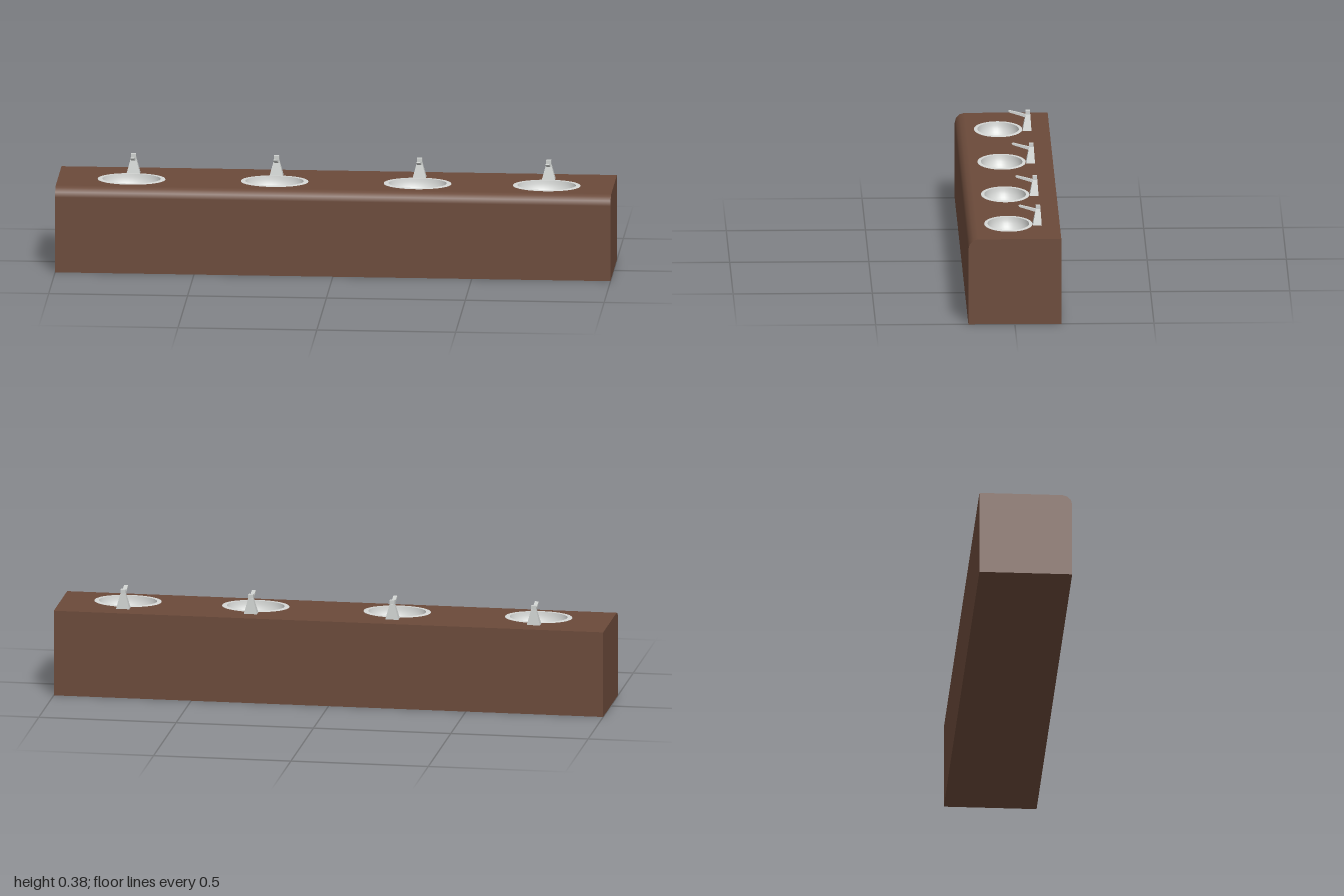
import * as THREE from 'three';

const H = 0.313, D = 0.167, R = 0.036; // counter height, half depth, front edge radius
const RIM_X = 0.122, RIM_Z = 0.087, BASIN_Z = 0.0175;
const BASINS = [-0.735, -0.22, 0.295, 0.76];

export function createModel() {
  const model = new THREE.Group();
  const wood = new THREE.MeshStandardMaterial({ color: 0x6b4a3a });
  wood.name = 'brown counter';
  const ceramic = new THREE.MeshStandardMaterial({ color: 0xd6d8d6 });
  ceramic.name = 'pale basin';
  const metal = new THREE.MeshStandardMaterial({ color: 0xcdd0ce });
  metal.name = 'grey tap';

  const add = (parent, name, geometry, material) => {
    const mesh = new THREE.Mesh(geometry, material);
    mesh.name = name;
    parent.add(mesh);
    return mesh;
  };

  // Counter body, left open on top so the basins can sink in
  const counter = new THREE.Group();
  counter.name = 'counter';
  model.add(counter);
  add(counter, 'frontPanel', new THREE.PlaneGeometry(2, H - R).translate(0, (H - R) / 2, D), wood);
  add(counter, 'backPanel', new THREE.PlaneGeometry(2, H).rotateY(Math.PI).translate(0, H / 2, -D), wood);
  add(counter, 'underside', new THREE.PlaneGeometry(2, 2 * D).rotateX(Math.PI / 2), wood);
  add(counter, 'roundedFrontEdge',
    new THREE.CylinderGeometry(R, R, 2, 3, 1, true, 0, Math.PI / 2)
      .rotateZ(Math.PI / 2).translate(0, H - R, D - R), wood);

  // End panels follow the rounded front edge
  for (const side of [1, -1]) {
    const profile = new THREE.Shape();
    profile.moveTo(side * D, 0);
    profile.lineTo(-side * D, 0);
    for (let i = 0; i <= 3; i++) {
      const a = (i * Math.PI) / 6;
      profile.lineTo(-side * (D - R + R * Math.cos(a)), H - R + R * Math.sin(a));
    }
    profile.lineTo(side * D, H);
    add(counter, side > 0 ? 'leftEnd' : 'rightEnd',
      new THREE.ShapeGeometry(profile).rotateY((side * Math.PI) / 2).translate(side, 0, 0), wood);
  }

  // Worktop with an oval cut-out for each basin
  const top = new THREE.Shape();
  top.moveTo(-1, R - D).lineTo(1, R - D).lineTo(1, D).lineTo(-1, D).closePath();
  for (const x of BASINS) {
    const hole = new THREE.Path();
    hole.absellipse(x, -BASIN_Z, RIM_X * 0.94, RIM_Z * 0.94, 0, Math.PI * 2, true);
    top.holes.push(hole);
  }
  add(counter, 'worktop', new THREE.ShapeGeometry(top, 20).rotateX(-Math.PI / 2).translate(0, H, 0), wood);

  // Basin profiles, turned round and squeezed into ovals
  const depth = 0.075, inner = 0.86;
  const bowlPoints = [];
  for (let i = 0; i <= 10; i++) {
    const a = (i / 10) * Math.PI / 2;
    bowlPoints.push(new THREE.Vector2(RIM_X * inner * Math.cos(a), 0.002 - depth * Math.sin(a)));
  }
  bowlPoints[10].x = 0;
  const rimPoints = [[1, -0.001], [0.995, 0.002], [inner, 0.002]]
    .map(([r, y]) => new THREE.Vector2(RIM_X * r, y));
  const oval = (points) => new THREE.LatheGeometry(points, 40).scale(1, 1, RIM_Z / RIM_X);
  const bowl = oval(bowlPoints), rim = oval(rimPoints);

  // Tap body: a box narrowed towards the top
  const body = new THREE.BoxGeometry(1, 1, 1);
  const p = body.attributes.position;
  for (let i = 0; i < p.count; i++) {
    const up = p.getY(i) > 0, front = p.getZ(i) > 0;
    const z = up ? (front ? -0.081 : -0.098) : (front ? -0.07 : -0.102);
    p.setXYZ(i, Math.sign(p.getX(i)) * (up ? 0.009 : 0.024), up ? 0.369 : H, z);
  }
  body.computeVertexNormals();
  const head = new THREE.BoxGeometry(0.018, 0.015, 0.016).translate(0, 0.3755, -0.089);

  // Spout rises towards the front of the counter
  const side = new THREE.Shape();
  side.moveTo(-0.085, 0.357).lineTo(-0.022, 0.377).lineTo(-0.019, 0.381)
    .lineTo(-0.025, 0.383).lineTo(-0.085, 0.368).closePath();
  const spout = new THREE.ExtrudeGeometry(side, { depth: 0.014, bevelEnabled: false })
    .rotateY(-Math.PI / 2).translate(0.007, 0, 0);

  for (const x of BASINS) {
    const basin = new THREE.Group();
    basin.name = 'basin';
    basin.position.set(x, H, BASIN_Z);
    add(basin, 'bowl', bowl, ceramic);
    add(basin, 'rim', rim, ceramic);

    const tap = new THREE.Group();
    tap.name = 'tap';
    tap.position.x = x;
    add(tap, 'tapBody', body, metal);
    add(tap, 'tapHead', head, metal);
    add(tap, 'spout', spout, metal);
    model.add(basin, tap);
  }
  return model;
}
